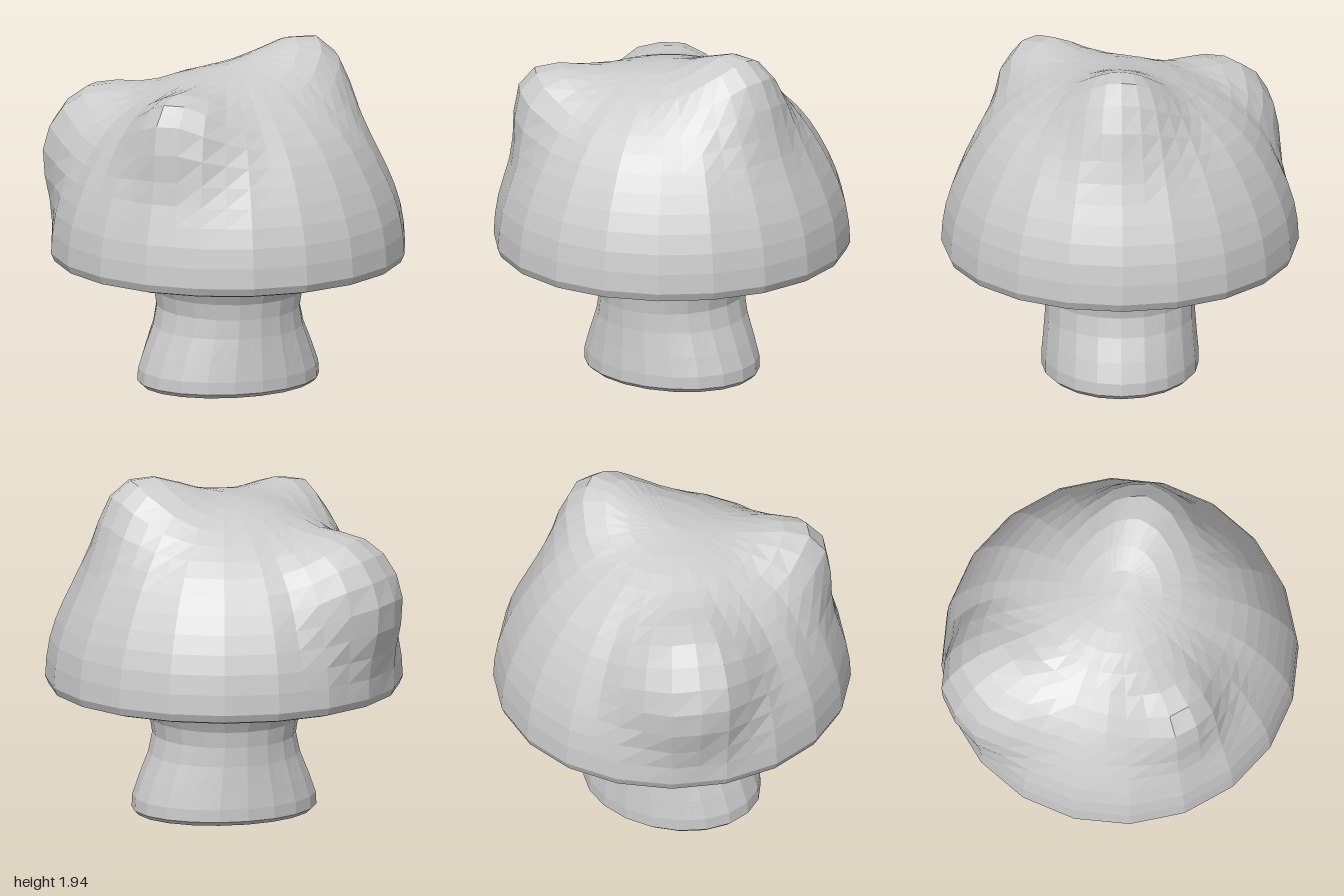
import * as THREE from 'three';

const SEG = 40, SIDES = 20;
const material = new THREE.MeshStandardMaterial({ color: 0xcccccc, flatShading: true });

// Skin a stack of rings, listed from bottom to top, each an array of SEG points
function skin(name, rings) {
  const pos = rings.flat().flatMap(p => [p.x, p.y, p.z]);
  const index = [];
  for (let r = 0; r < rings.length - 1; r++) {
    for (let s = 0; s < SEG; s++) {
      const n = (s + 1) % SEG;
      const a = r * SEG + s, b = a + SEG, c = r * SEG + n, d = c + SEG;
      index.push(a, b, c, b, d, c);
    }
  }
  const geo = new THREE.BufferGeometry();
  geo.setAttribute('position', new THREE.Float32BufferAttribute(pos, 3));
  geo.setIndex(index);
  geo.computeVertexNormals();
  const mesh = new THREE.Mesh(geo, material);
  mesh.name = name;
  return mesh;
}

// Faceted ellipse: every second point lies on the middle of a polygon side
function ring(rx, y, rz = rx) {
  return Array.from({ length: SEG }, (_, s) => {
    const t = (s / SEG) * Math.PI * 2;
    const k = s % 2 ? Math.cos(Math.PI / SIDES) : 1;
    return new THREE.Vector3(rx * k * Math.cos(t), y, rz * k * Math.sin(t));
  });
}

// Bumps on the cap: direction from the cap's centre, height, spread in degrees, bluntness
const CENTRE = new THREE.Vector3(0, 0.7, 0);
const BUMPS = [
  { dir: [0.58, 1.23, 0], h: 0.26, spread: 15, power: 2 },
  { dir: [-0.62, 1.04, 0.53], h: 0.24, spread: 14, power: 2 },
  { dir: [-0.69, 0.78, -0.74], h: 0.23, spread: 19, power: 3 },
  { dir: [0, 1.08, 0.17], h: 0.045, spread: 24, power: 2 },
].map(b => ({ ...b, dir: new THREE.Vector3(...b.dir).normalize() }));

function raise(p) {
  const v = p.clone().sub(CENTRE);
  const len = v.length();
  let extra = 0;
  for (const b of BUMPS) {
    const angle = THREE.MathUtils.radToDeg(v.angleTo(b.dir));
    extra += b.h * Math.exp(-Math.pow(angle / b.spread, b.power));
  }
  return v.multiplyScalar(1 + extra / len).add(CENTRE);
}

export function createModel() {
  const model = new THREE.Group();
  model.name = 'mushroom';

  // Cap: flat underside, narrow rounded rim, then a dome pushed out into bumps
  const under = [[0.4, 0.67], [0.6, 0.68], [0.93, 0.71], [0.98, 0.725]].map(([r, y]) => ring(r, y));
  const profile = new THREE.SplineCurve([
    [1, 0.77], [0.98, 0.97], [0.9, 1.2], [0.75, 1.45], [0.55, 1.62], [0.3, 1.73], [0, 1.77],
  ].map(p => new THREE.Vector2(...p)));
  const dome = profile.getSpacedPoints(14).map(p => ring(Math.max(p.x, 0), p.y).map(raise));
  model.add(skin('cap', [...under, ...dome]));

  // Stem: waisted, with an oval foot wider from side to side
  const stem = [
    [0, 0, 0], [0.5, 0.005, 0.41], [0.525, 0.03, 0.44], [0.52, 0.1, 0.44], [0.48, 0.21, 0.43],
    [0.425, 0.34, 0.42], [0.4, 0.45, 0.42], [0.415, 0.54, 0.43], [0.45, 0.61, 0.465],
    [0.53, 0.66, 0.53], [0.68, 0.688, 0.68],
  ];
  model.add(skin('stem', stem.map(([rx, y, rz]) => ring(rx, y, rz))));

  return model;
}
